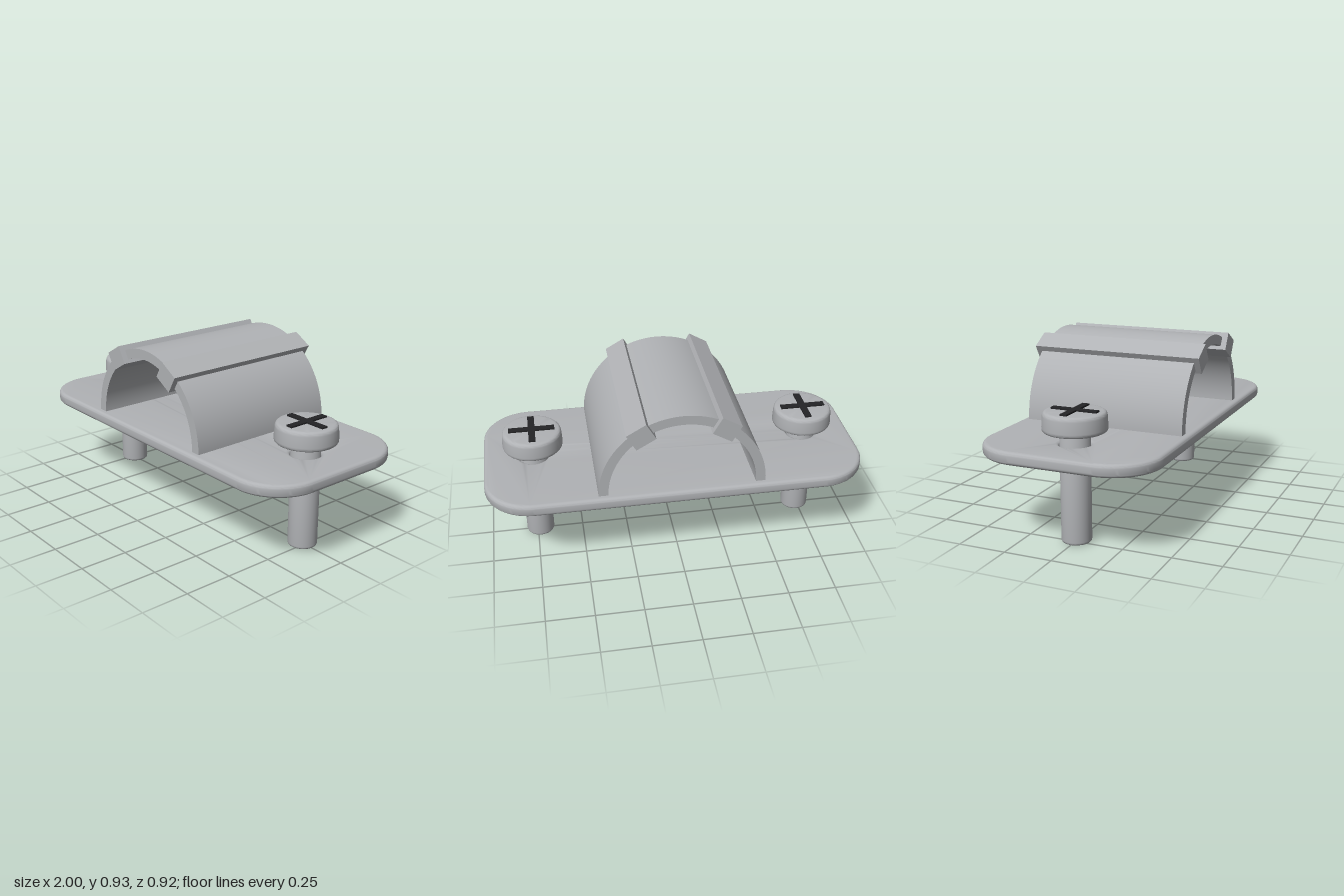
import * as THREE from 'three';
import { toCreasedNormals } from 'three/addons/utils/BufferGeometryUtils.js';

const PLATE_BOTTOM = 0.43, PLATE_TOP = 0.495, SCREW_X = 0.735;

export function createModel() {
  const steel = new THREE.MeshStandardMaterial({ color: 0xb0b2b5 });
  steel.name = 'steel grey';
  const dark = new THREE.MeshStandardMaterial({ color: 0x242426 });
  dark.name = 'recess black';

  const model = new THREE.Group();
  model.name = 'saddleClamp';
  const add = (parent, name, geometry, material, x = 0, y = 0, z = 0) => {
    const mesh = new THREE.Mesh(geometry, material);
    mesh.name = name;
    mesh.position.set(x, y, z);
    parent.add(mesh);
    return mesh;
  };

  // Base plate: rounded rectangle with softened edges and two screw holes
  const w = 1, d = 0.46, r = 0.25, bevel = 0.02;
  const outline = new THREE.Shape();
  outline.absarc(w - r, d - r, r, 0, Math.PI / 2);
  outline.absarc(r - w, d - r, r, Math.PI / 2, Math.PI);
  outline.absarc(r - w, r - d, r, Math.PI, Math.PI * 1.5);
  outline.absarc(w - r, r - d, r, Math.PI * 1.5, Math.PI * 2);
  outline.closePath();
  for (const s of [-1, 1]) {
    const hole = new THREE.Path();
    hole.absarc(s * SCREW_X, 0, 0.076, 0, Math.PI * 2, true);
    outline.holes.push(hole);
  }
  const plate = new THREE.ExtrudeGeometry(outline, {
    depth: PLATE_TOP - PLATE_BOTTOM - 2 * bevel, curveSegments: 16,
    bevelEnabled: true, bevelSize: bevel, bevelThickness: bevel, bevelOffset: -bevel, bevelSegments: 5,
  });
  plate.rotateX(-Math.PI / 2);
  add(model, 'basePlate', toCreasedNormals(plate, 0.6), steel, 0, PLATE_BOTTOM + bevel, 0);

  // Half-round strap rising from the plate
  const arc = new THREE.Shape();
  arc.absarc(0, 0, 0.43, 0, Math.PI);
  arc.absarc(0, 0, 0.38, Math.PI, 0, true);
  arc.closePath();
  const strap = new THREE.ExtrudeGeometry(arc, { depth: 0.85, curveSegments: 48, bevelEnabled: false });
  strap.translate(0, 0, -0.425);
  add(model, 'archStrap', toCreasedNormals(strap, 0.6), steel, 0, PLATE_TOP, 0);

  // Two square ribs running along the strap
  for (const s of [-1, 1]) {
    const rib = add(model, s > 0 ? 'leftRib' : 'rightRib',
      new THREE.BoxGeometry(0.114, 0.098, 0.91), steel, s * 0.2125, 0.842, 0);
    rib.rotation.z = -s * Math.PI / 6;
  }

  // Turned solid: rounds the corners between straight profile points
  const lathe = (points, round) => {
    const profile = [];
    points.forEach(([x, y], i) => {
      const p = new THREE.Vector2(x, y);
      if (i === 0 || i === points.length - 1) return profile.push(p);
      const step = ([a, b]) => p.clone().add(new THREE.Vector2(a - x, b - y).setLength(round));
      const curve = new THREE.QuadraticBezierCurve(step(points[i - 1]), p, step(points[i + 1]));
      profile.push(...curve.getPoints(5));
    });
    const g = new THREE.LatheGeometry(profile, 40);
    g.deleteAttribute('uv');
    return toCreasedNormals(g, 0.6);
  };
  const shankGeometry = lathe([[0, 0], [0.075, 0], [0.075, 0.556], [0, 0.556]], 0.015);
  const headGeometry = lathe([[0, 0.555], [0.16, 0.555], [0.154, 0.655], [0, 0.655]], 0.022);

  // Screws with cross-shaped drive marks
  for (const s of [-1, 1]) {
    const screw = new THREE.Group();
    screw.name = s > 0 ? 'leftScrew' : 'rightScrew';
    screw.position.x = s * SCREW_X;
    add(screw, 'screwShank', shankGeometry, steel);
    add(screw, 'screwHead', headGeometry, steel);
    add(screw, 'crossBarX', new THREE.BoxGeometry(0.24, 0.009, 0.035), dark, 0, 0.6585, 0);
    for (const t of [-1, 1]) {
      add(screw, 'crossBarZ', new THREE.BoxGeometry(0.035, 0.009, 0.1025), dark, 0, 0.6585, t * 0.06875);
    }
    model.add(screw);
  }
  return model;
}
